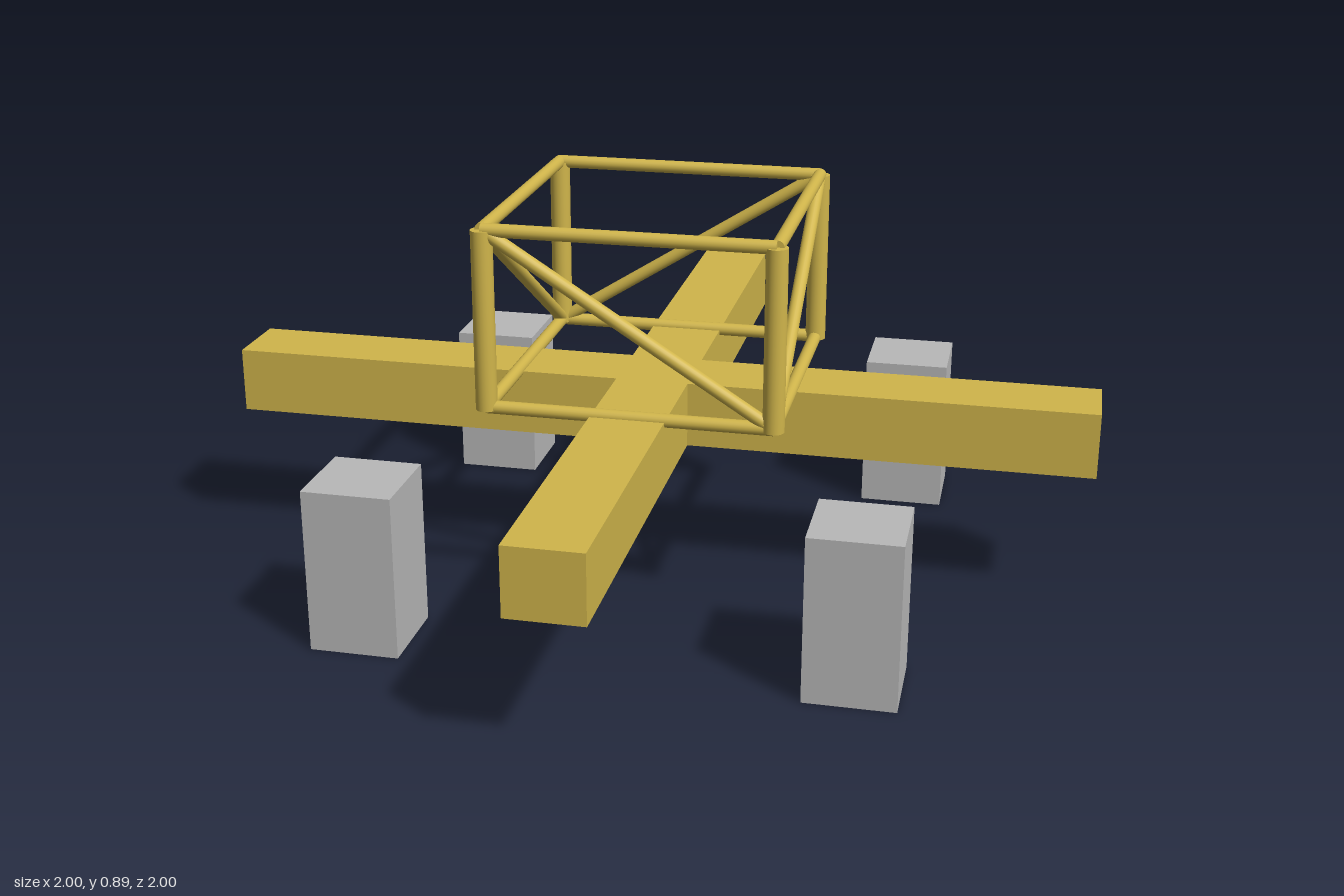
import * as THREE from 'three';

const yellow = new THREE.MeshStandardMaterial({ color: 0xd0b54b });
yellow.name = 'yellow paint';
const grey = new THREE.MeshStandardMaterial({ color: 0xb8b8b8 });
grey.name = 'concrete grey';

const HALF = 0.318; // half spacing of the cage posts
const LOW = 0.47, HIGH = 0.871; // rail heights

// Round bar between two points
function bar(name, a, b, radius) {
  const dir = new THREE.Vector3().subVectors(b, a);
  const mesh = new THREE.Mesh(new THREE.CylinderGeometry(radius, radius, dir.length(), 20), yellow);
  mesh.name = name;
  mesh.position.addVectors(a, b).multiplyScalar(0.5);
  mesh.quaternion.setFromUnitVectors(new THREE.Vector3(0, 1, 0), dir.normalize());
  return mesh;
}

export function createModel() {
  const model = new THREE.Group();
  model.name = 'crossBase';

  // Cross-shaped foot, one solid
  const w = 0.083;
  const outline = [
    [w, w], [w, 1], [-w, 1], [-w, w], [-1, w], [-1, -w],
    [-w, -w], [-w, -1], [w, -1], [w, -w], [1, -w], [1, w],
  ].map(([x, y]) => new THREE.Vector2(x, y));
  const crossGeometry = new THREE.ExtrudeGeometry(new THREE.Shape(outline), { depth: 0.15, bevelEnabled: false });
  crossGeometry.rotateX(-Math.PI / 2);
  const cross = new THREE.Mesh(crossGeometry, yellow);
  cross.name = 'crossBeams';
  cross.position.y = 0.32;
  model.add(cross);

  // Ballast blocks between the arms
  for (const x of [-0.533, 0.533]) {
    for (const z of [-0.533, 0.533]) {
      const block = new THREE.Mesh(new THREE.BoxGeometry(0.198, 0.37, 0.198), grey);
      block.name = 'ballastBlock';
      block.position.set(x, 0.185, z);
      model.add(block);
    }
  }

  // Cage: posts, rails and one diagonal brace per side
  const cage = new THREE.Group();
  cage.name = 'cage';
  const corners = [[1, 1], [1, -1], [-1, -1], [-1, 1]];
  const at = (i, y) => new THREE.Vector3(corners[i % 4][0] * HALF, y, corners[i % 4][1] * HALF);
  for (let i = 0; i < 4; i++) {
    cage.add(bar('post', at(i, 0.465), at(i, 0.871), 0.024));
    cage.add(bar('lowerRail', at(i, LOW), at(i + 1, LOW), 0.015));
    cage.add(bar('upperRail', at(i, HIGH), at(i + 1, HIGH), 0.015));
    // Braces alternate, so opposite corners share a high or low end
    const [startY, endY] = i % 2 === 0 ? [LOW, HIGH] : [HIGH, LOW];
    cage.add(bar('brace', at(i, startY), at(i + 1, endY), 0.015));
  }
  model.add(cage);
  return model;
}
